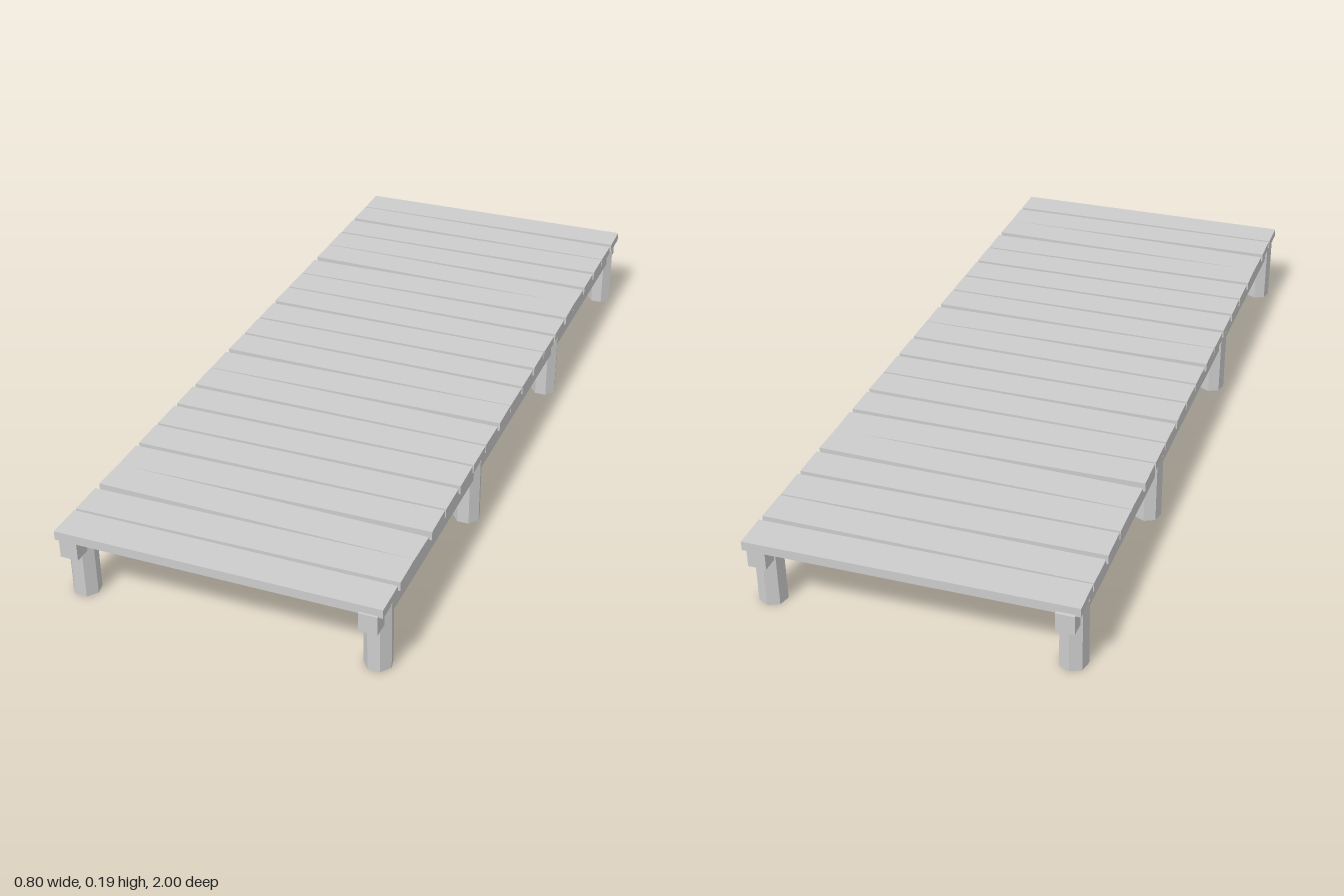
import * as THREE from 'three';

export function createModel() {
  const dock = new THREE.Group();
  dock.name = 'woodenDock';
  const wood = new THREE.MeshStandardMaterial({ color: 0xcccccc, flatShading: true });
  wood.name = 'paleGreyWood';

  const add = (name, geometry, x, y, z, turn = 0) => {
    const mesh = new THREE.Mesh(geometry, wood);
    mesh.name = name;
    mesh.position.set(x, y, z);
    mesh.rotation.y = turn;
    dock.add(mesh);
  };

  // Deck planks, each laid slightly askew: z drift from left end to right end
  const drift = [
    -0.012, 0, -0.012, -0.005, 0.01, -0.014, -0.004, 0.004, -0.006, 0,
    0.004, -0.012, 0.003, -0.005, -0.01, -0.006, -0.014, 0.008, -0.012, -0.006,
  ];
  const plank = new THREE.BoxGeometry(0.797, 0.023, 0.09);
  drift.forEach((d, i) => add('plank', plank, 0, 0.1835, -0.95 + 0.1 * i, -d / 0.8));

  // Long beams and seven-sided posts on both sides
  const beam = new THREE.BoxGeometry(0.045, 0.049, 1.995);
  const post = new THREE.CylinderGeometry(0.0343, 0.0343, 0.174, 7);
  for (const side of [-1, 1]) {
    add('beam', beam, side * 0.3655, 0.1515, 0);
    for (const z of [-0.935, -0.334, 0.334, 0.935]) {
      add('post', post, side * 0.3665, 0.087, z, Math.PI);
    }
  }
  return dock;
}
